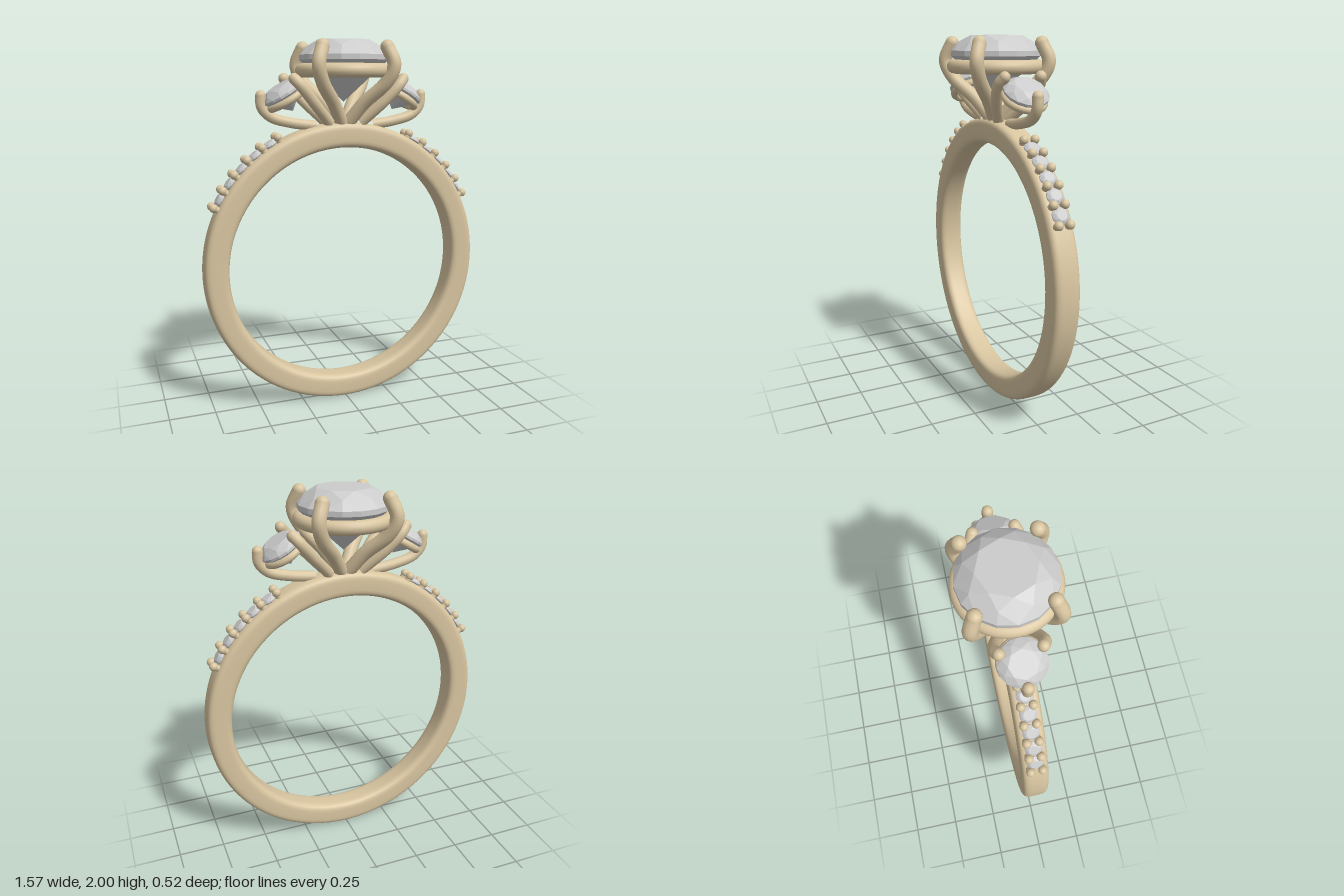
import * as THREE from 'three';
import { ConvexGeometry } from 'three/addons/geometries/ConvexGeometry.js';

const gold = new THREE.MeshStandardMaterial({ color: 0xd8c5a0 });
const stone = new THREE.MeshStandardMaterial({ color: 0xcccccc, flatShading: true });
const V = (x, y, z) => new THREE.Vector3(x, y, z);
const CENTER_Y = 0.786;

function add(parent, name, geometry, material) {
  const mesh = new THREE.Mesh(geometry, material);
  mesh.name = name;
  parent.add(mesh);
  return mesh;
}

// Round wire through the points, with a rounded tip at the last one
function prong(parent, name, points, radius) {
  const group = new THREE.Group();
  group.name = name;
  const curve = new THREE.CatmullRomCurve3(points);
  add(group, 'wire', new THREE.TubeGeometry(curve, 32, radius, 14), gold);
  add(group, 'tip', new THREE.SphereGeometry(radius, 14, 10), gold)
    .position.copy(points[points.length - 1]);
  parent.add(group);
  return group;
}

// Brilliant cut with girdle radius 1: table, crown, girdle, pavilion, culet
function gemGeometry() {
  const pts = [V(0, -0.95, 0)];
  const ring = (r, y, n, shift) => {
    for (let i = 0; i < n; i++) {
      const a = ((i + shift) / n) * Math.PI * 2;
      pts.push(V(r * Math.cos(a), y, r * Math.sin(a)));
    }
  };
  ring(0.6, 0.41, 8, 0);
  ring(0.83, 0.27, 8, 0.5);
  ring(1, 0.08, 16, 0);
  ring(1, -0.03, 16, 0);
  return new ConvexGeometry(pts);
}

function basketRing(parent, name, radius, tube, y) {
  const mesh = add(parent, name, new THREE.TorusGeometry(radius, tube, 16, 56), gold);
  mesh.rotation.x = Math.PI / 2;
  mesh.position.y = y;
}

export function createModel() {
  const model = new THREE.Group();
  model.name = 'ring';
  const gem = gemGeometry();

  // Band: softly squared section swept round the finger hole
  const section = [];
  const soft = (v) => Math.sign(v) * Math.sqrt(Math.abs(v));
  for (let i = 0; i <= 40; i++) {
    const t = (i / 40) * Math.PI * 2;
    section.push(new THREE.Vector2(0.718 + 0.067 * soft(Math.cos(t)), 0.071 * soft(Math.sin(t))));
  }
  const band = add(model, 'band', new THREE.LatheGeometry(section, 128), gold);
  band.rotation.x = Math.PI / 2;
  band.position.y = CENTER_Y;

  // Centre stone in its basket
  const main = new THREE.Group();
  main.name = 'centreSetting';
  model.add(main);
  const mainGem = add(main, 'centreStone', gem, stone);
  mainGem.scale.setScalar(0.236);
  mainGem.position.y = 1.903;
  basketRing(main, 'basketRing', 0.222, 0.036, 1.842);
  for (const sx of [1, -1]) {
    for (const sz of [1, -1]) {
      const path = [[0.02, 1.57], [0.085, 1.675], [0.172, 1.78], [0.203, 1.87], [0.175, 1.96]];
      prong(main, 'centreProng', path.map(([r, y]) => V(sx * r, y, sz * r)), 0.036);
    }
  }

  // Both shoulders: side stone plus pave row, the second one turned half round
  for (const turn of [0, Math.PI]) {
    const shoulder = new THREE.Group();
    shoulder.name = turn ? 'rightShoulder' : 'leftShoulder';
    shoulder.rotation.y = turn;
    model.add(shoulder);

    // Tilted side stone on its small ring
    const side = new THREE.Group();
    side.name = 'sideSetting';
    side.position.set(0.335, 1.725, 0);
    side.rotation.z = -0.54;
    shoulder.add(side);
    add(side, 'sideStone', gem, stone).scale.set(0.118, 0.11, 0.118);
    basketRing(side, 'sideRing', 0.1, 0.02, -0.032);

    // Side prongs: two beside the centre stone, one curling round the outer end
    for (const sz of [1, -1]) {
      prong(shoulder, 'innerSideProng',
        [V(0.09, 1.57, sz * 0.03), V(0.2, 1.685, sz * 0.095), V(0.27, 1.765, sz * 0.115),
          V(0.302, 1.8, sz * 0.1)], 0.029);
    }
    prong(shoulder, 'outerSideProng',
      [V(0.16, 1.555, 0), V(0.29, 1.573, 0), V(0.4, 1.605, 0), V(0.448, 1.655, 0),
        V(0.453, 1.715, 0)], 0.028);

    // Pave: six pairs of beads with five small stones between them
    for (let i = 0; i < 11; i++) {
      const spot = new THREE.Group();
      const a = THREE.MathUtils.degToRad(27.6 + i * 3.56);
      spot.name = i % 2 ? 'paveStoneSeat' : 'paveBeads';
      spot.position.set(0.808 * Math.sin(a), CENTER_Y + 0.808 * Math.cos(a), 0);
      spot.rotation.z = -a;
      shoulder.add(spot);
      if (i % 2) {
        const small = add(spot, 'paveStone', gem, stone);
        small.scale.setScalar(0.045);
        small.position.y = -0.018;
      } else {
        for (const sz of [1, -1]) {
          const bead = add(spot, 'bead', new THREE.SphereGeometry(0.023, 14, 10), gold);
          bead.position.z = sz * 0.031;
          const post = add(spot, 'beadPost', new THREE.CylinderGeometry(0.018, 0.018, 0.04, 12), gold);
          post.position.set(0, -0.02, sz * 0.031);
        }
      }
    }
  }
  return model;
}
